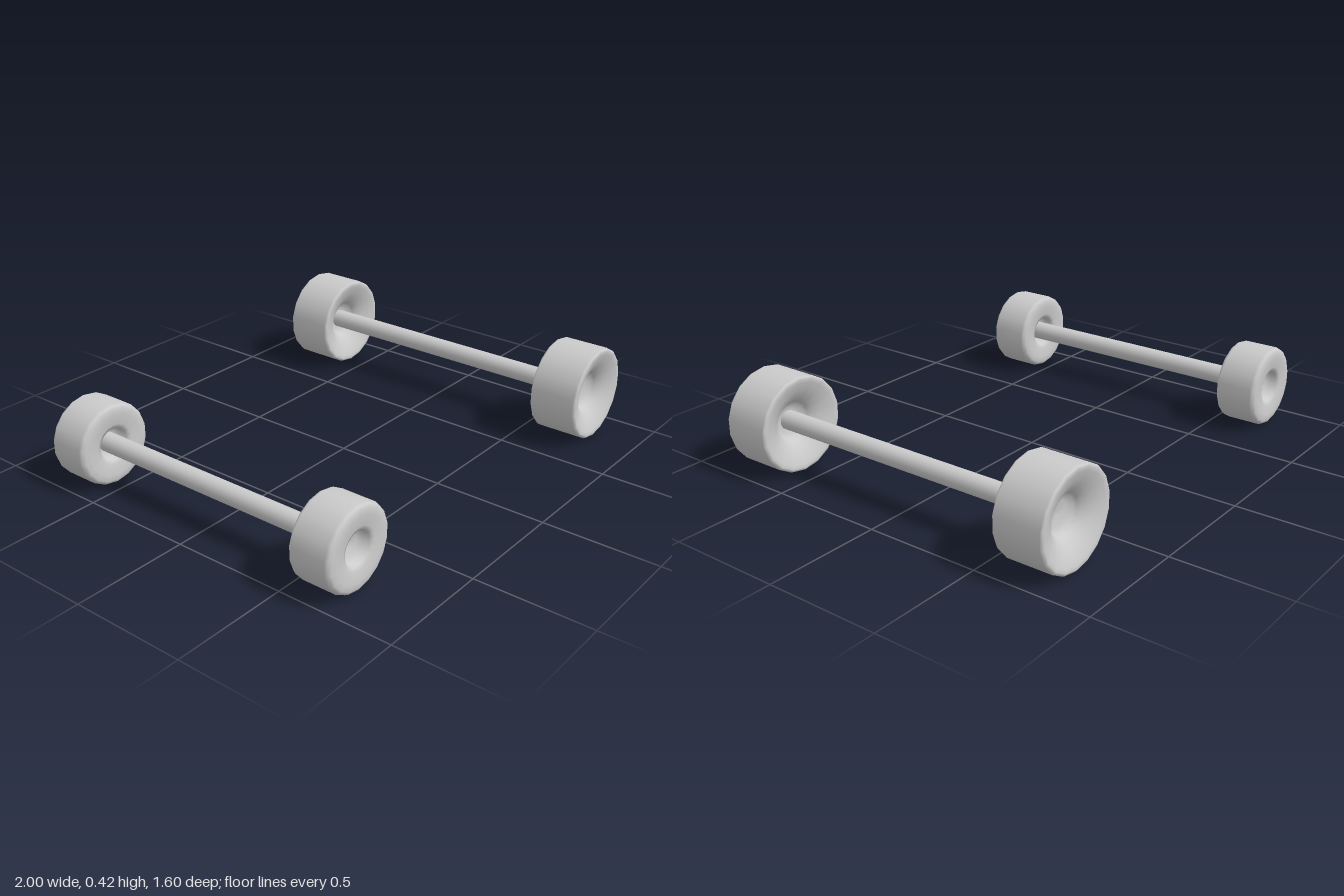
import * as THREE from 'three';

const material = new THREE.MeshStandardMaterial({ color: 0xcccccc });

// Wheel turned about z from a half profile of [radius, z] points, mirrored to both faces
function makeWheel(half) {
  const points = [
    ...half.map(([r, z]) => new THREE.Vector2(r, -z)),
    ...[...half].reverse().map(([r, z]) => new THREE.Vector2(r, z)),
  ];
  const geometry = new THREE.LatheGeometry(points, 18);
  geometry.rotateX(Math.PI / 2);
  return geometry;
}

// Two wheels joined by a rod
function makeAxle(name, x, radius, wheelZ, profile) {
  const axle = new THREE.Group();
  axle.name = name;
  axle.position.set(x, radius, 0);

  const rodGeometry = new THREE.CylinderGeometry(0.042, 0.042, wheelZ * 2, 16);
  rodGeometry.rotateX(Math.PI / 2);
  const rod = new THREE.Mesh(rodGeometry, material);
  rod.name = name + 'Rod';
  axle.add(rod);

  const wheelGeometry = makeWheel(profile);
  for (const side of [1, -1]) {
    const wheel = new THREE.Mesh(wheelGeometry, material);
    wheel.name = name + (side > 0 ? 'FrontWheel' : 'BackWheel');
    wheel.position.z = side * wheelZ;
    axle.add(wheel);
  }
  return axle;
}

export function createModel() {
  const model = new THREE.Group();
  model.name = 'wheelsAndAxles';

  // Small wheels: nearly flat faces with a round hub recess
  model.add(makeAxle('smallAxle', -0.823, 0.178, 0.635, [
    [0, 0.035], [0.045, 0.042], [0.068, 0.058], [0.071, 0.082],
    [0.09, 0.09], [0.135, 0.095], [0.16, 0.094], [0.172, 0.087], [0.178, 0.075],
  ]));

  // Large wheels: deep dished faces running into the hub recess
  model.add(makeAxle('largeAxle', 0.792, 0.208, 0.69, [
    [0, 0.02], [0.05, 0.025], [0.076, 0.035], [0.083, 0.05],
    [0.105, 0.073], [0.145, 0.095], [0.18, 0.107], [0.195, 0.11], [0.204, 0.107], [0.208, 0.099],
  ]));

  return model;
}
